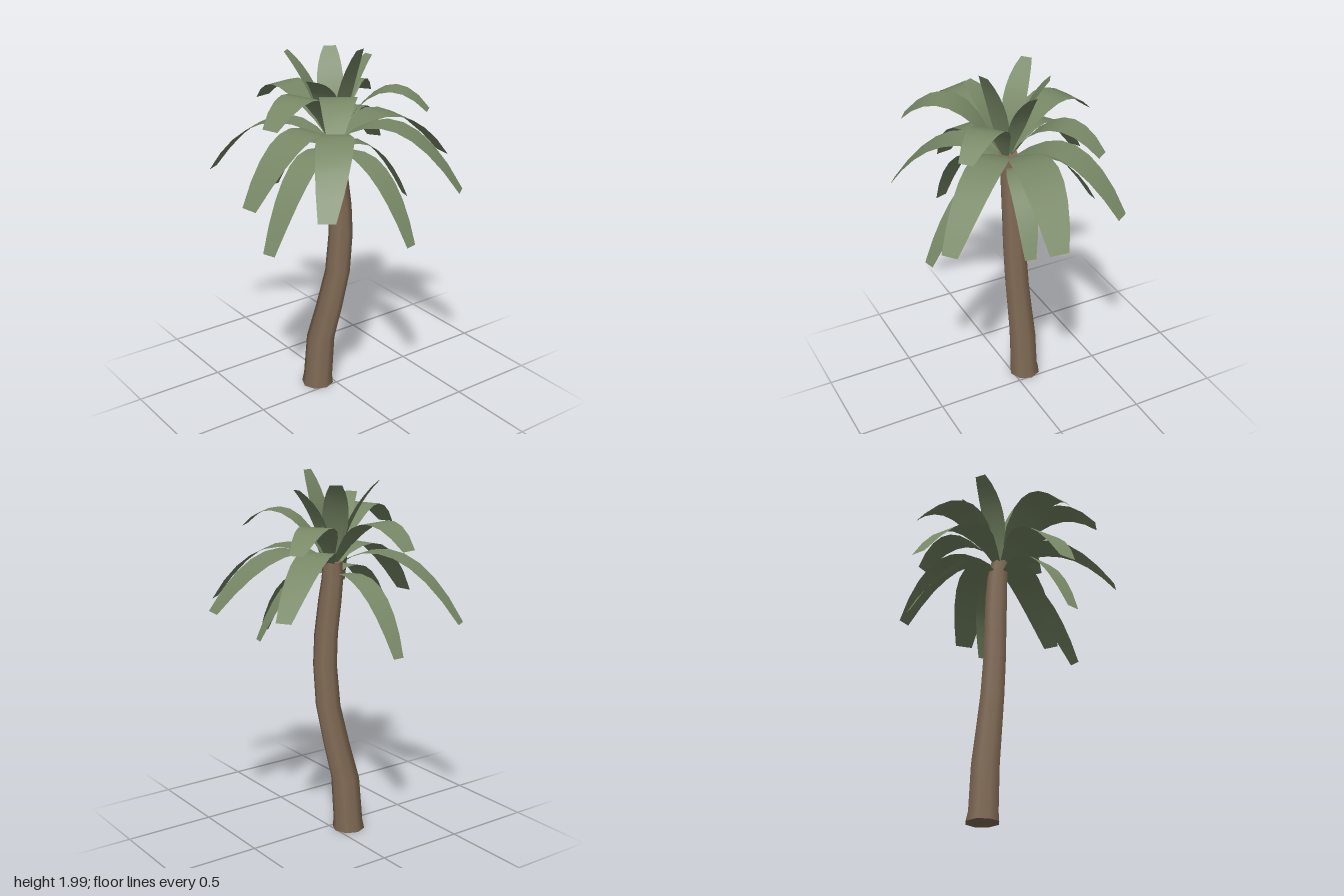
import * as THREE from 'three';

const bark = new THREE.MeshStandardMaterial({ color: 0x836d57 });
bark.name = 'bark brown';
const leaf = new THREE.MeshStandardMaterial({ color: 0x788866, side: THREE.DoubleSide });
leaf.name = 'leaf green';

// Trunk rings: x, y, z, radius
const RINGS = [
  [-0.075, 0, 0.08, 0.09], [-0.07, 0.05, 0.08, 0.082], [-0.055, 0.3, 0.07, 0.079],
  [-0.02, 0.5, 0.035, 0.074], [0.015, 0.72, 0.003, 0.069], [0.033, 0.95, -0.005, 0.066],
  [0.034, 1.12, 0.003, 0.065], [0.03, 1.3, 0.025, 0.064], [0.03, 1.42, 0.042, 0.059],
  [0.042, 1.51, 0.052, 0.053],
];

// Curved tapering trunk: a cylinder whose rings follow the table
function makeTrunk() {
  const n = RINGS.length - 1;
  const g = new THREE.CylinderGeometry(1, 1, n, 8, n);
  const p = g.attributes.position;
  for (let i = 0; i < p.count; i++) {
    const [x, y, z, r] = RINGS[Math.round(p.getY(i) + n / 2)];
    p.setXYZ(i, x + p.getX(i) * r, y, z + p.getZ(i) * r);
  }
  return new THREE.Mesh(g, bark);
}

const CROWN = new THREE.Vector3(0.045, 1.5, 0.052);
const WIDTH = [0.22, 0.5, 0.8, 0.97, 1, 0.96, 0.86, 0.7, 0.46]; // along the frond

// Arched blade from the crown to its tip; reach and height place the arch's control point
function makeFrond([x, y, z, height, width], reach, baseY) {
  const tip = new THREE.Vector3(x, y, z);
  const dir = new THREE.Vector3(x - CROWN.x, 0, z - CROWN.z);
  const length = dir.length();
  dir.normalize();
  const side = new THREE.Vector3(dir.z, 0, -dir.x);
  const start = CROWN.clone().setY(baseY).addScaledVector(dir, 0.025);
  const control = CROWN.clone().setY(height)
    .addScaledVector(dir, length * reach).addScaledVector(side, length * 0.07);
  const curve = new THREE.QuadraticBezierCurve3(start, control, tip);
  const n = WIDTH.length - 1;
  const g = new THREE.PlaneGeometry(1, 1, 1, n);
  const p = g.attributes.position;
  for (let row = 0; row <= n; row++) {
    const c = curve.getPoint(row / n);
    for (let k = 0; k < 2; k++) {
      const s = (k - 0.5) * width * WIDTH[row];
      p.setXYZ(row * 2 + k, c.x + side.x * s, c.y, c.z + side.z * s);
    }
  }
  // front faces upward
  const ix = g.index.array;
  const [a, b, d] = [0, 1, 2].map(i => new THREE.Vector3().fromBufferAttribute(p, ix[i]));
  if (b.sub(a).cross(d.sub(a)).dot(dir.clone().multiplyScalar(-1).setY(1)) < 0) {
    for (let i = 0; i < ix.length; i += 3) [ix[i], ix[i + 1]] = [ix[i + 1], ix[i]];
  }
  g.computeVertexNormals();
  return new THREE.Mesh(g, leaf);
}

// Fronds by tier: tip x, y, z, control height, width
const TIERS = [
  { name: 'archingFrond', reach: 0.5, baseY: 1.49, fronds: [
    [-0.58, 1.24, 0.42, 1.76, 0.17], [0.12, 1.31, -0.645, 1.77, 0.22],
    [0.575, 1.275, -0.37, 1.78, 0.19], [0.54, 1.28, 0.45, 1.76, 0.19],
    [0.15, 1.27, 0.64, 1.77, 0.21], [-0.32, 1.32, -0.505, 1.78, 0.18]] },
  { name: 'droopingFrond', reach: 0.55, baseY: 1.44, fronds: [
    [0.56, 1.04, -0.06, 1.52, 0.14], [0.21, 1.03, 0.57, 1.6, 0.16],
    [0.13, 1.12, -0.37, 1.56, 0.13], [-0.5, 1.09, 0.075, 1.55, 0.14]] },
  { name: 'middleFrond', reach: 0.5, baseY: 1.51, fronds: [
    [-0.475, 1.63, 0.15, 1.92, 0.2], [0.49, 1.695, 0.365, 2.0, 0.19],
    [0.2, 1.67, 0.54, 1.98, 0.2], [-0.26, 1.63, -0.385, 1.9, 0.17],
    [0.425, 1.69, -0.26, 1.95, 0.17]] },
  { name: 'uprightFrond', reach: 0.36, baseY: 1.52, fronds: [
    [0.2, 1.99, 0, 1.8, 0.14], [0.025, 1.91, -0.19, 1.78, 0.11],
    [-0.14, 1.94, -0.06, 1.79, 0.14], [-0.15, 1.95, 0.21, 1.8, 0.13],
    [0.165, 1.86, 0.27, 1.8, 0.14]] },
];

export function createModel() {
  const palm = new THREE.Group();
  palm.name = 'palmTree';
  const trunk = makeTrunk();
  trunk.name = 'trunk';
  palm.add(trunk);
  for (const { name, reach, baseY, fronds } of TIERS) {
    fronds.forEach((f, i) => {
      const mesh = makeFrond(f, reach, baseY);
      mesh.name = `${name}${i + 1}`;
      palm.add(mesh);
    });
  }
  return palm;
}
